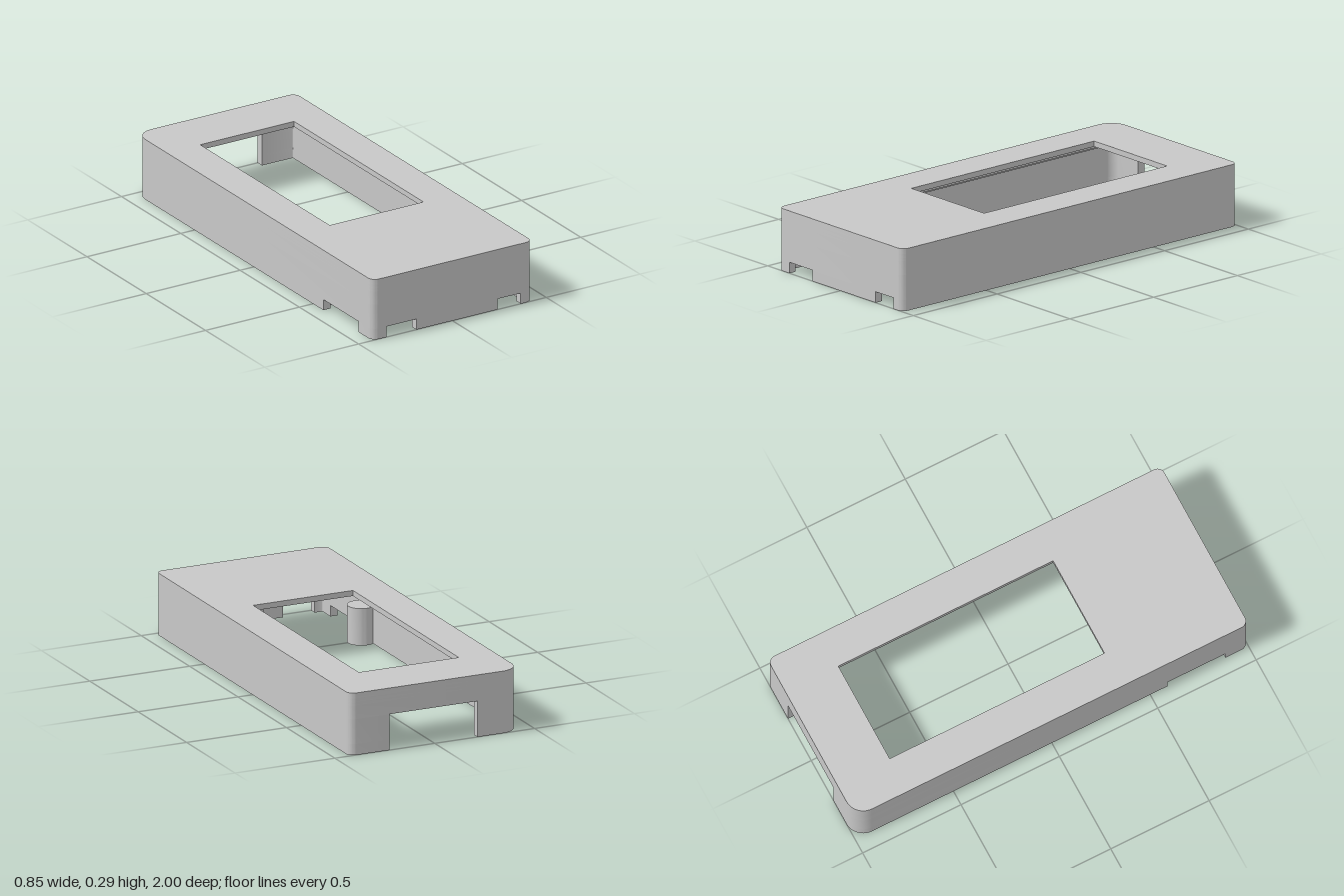
import * as THREE from 'three';
import { toCreasedNormals } from 'three/addons/utils/BufferGeometryUtils.js';

const HX = 0.427, HZ = 1, WALL = 0.037, CEILING = 0.235, TOP = 0.294;

// Outer corners in plan, shape y = -z, listed clockwise from back +x
const CORNERS = [
  { sx: 1, sy: 1, r: 0.035, a: Math.PI / 2 },
  { sx: 1, sy: -1, r: 0.035, a: 0 },
  { sx: -1, sy: -1, r: 0.035, a: -Math.PI / 2 },
  { sx: -1, sy: 1, r: 0.085, a: Math.PI },
];

// Points of one rounded corner, moved inwards by inset
function cornerPoints({ sx, sy, r, a }, inset) {
  const cx = sx * (HX - r), cy = sy * (HZ - r), rr = Math.max(r - inset, 0.004);
  const off = r - inset - rr;
  const pts = [];
  for (let i = 0; i <= 10; i++) {
    const t = a - (i / 10) * Math.PI / 2;
    pts.push(new THREE.Vector2(cx + sx * off + rr * Math.cos(t), cy + sy * off + rr * Math.sin(t)));
  }
  return pts;
}

const outline = (inset) => CORNERS.flatMap((c) => cornerPoints(c, inset));

const rectangle = (x, zBack, zFront) => [[-x, -zBack], [x, -zBack], [x, -zFront], [-x, -zFront]]
  .map(([px, py]) => new THREE.Vector2(px, py));

// A wall strip from one plan point (x, z) to another, passing the given corners
function strip(from, corners, to) {
  const end = ([x, z], inset) => Math.abs(z) === HZ
    ? new THREE.Vector2(x, -Math.sign(z) * (HZ - inset))
    : new THREE.Vector2(Math.sign(x) * (HX - inset), -z);
  const side = (inset) => [end(from, inset),
    ...corners.flatMap((i) => cornerPoints(CORNERS[i], inset)), end(to, inset)];
  return [...side(0), ...side(WALL).reverse()];
}

export function createModel() {
  const group = new THREE.Group();
  const grey = new THREE.MeshStandardMaterial({ color: 0xc8c8c8 });
  grey.name = 'plain grey';

  function add(name, geometry) {
    const mesh = new THREE.Mesh(toCreasedNormals(geometry, 0.6), grey);
    mesh.name = name;
    group.add(mesh);
    return mesh;
  }

  // Raise a clockwise plan shape from y0 to y1; holes run the other way round
  function layer(name, points, y0, y1, hole) {
    const shape = new THREE.Shape(points);
    if (hole) shape.holes.push(new THREE.Path(hole.reverse()));
    const geometry = new THREE.ExtrudeGeometry(shape, { depth: y1 - y0, bevelEnabled: false });
    geometry.rotateX(-Math.PI / 2).translate(0, y0, 0);
    add(name, geometry);
  }

  // Lower walls, cut by the front, side and back notches
  const notch = 0.052, backNotch = 0.17;
  const backPlus = [0.226, -HZ], backMinus = [-0.214, -HZ];
  layer('lowerSideWall', strip(backPlus, [0, 1], [0.364, HZ]), 0, notch);
  layer('lowerFrontWall', strip([0.241, HZ], [], [-0.192, HZ]), 0, notch);
  layer('lowerFrontCorner', strip([-0.351, HZ], [2], [-HX, 0.882]), 0, notch);
  layer('lowerBackCorner', strip([-HX, 0.587], [3], backMinus), 0, notch);

  // Upper walls
  layer('middleWall', strip(backPlus, [0, 1, 2, 3], backMinus), notch, backNotch);
  layer('upperWall', outline(0), backNotch, CEILING, outline(WALL));

  // Roof with a stepped recess under the window
  layer('recessFrame', outline(0), CEILING, 0.25, rectangle(0.3, -0.91, 0.485));
  layer('innerRecessFrame', outline(0), 0.25, 0.268, rectangle(0.275, -0.87, 0.44));
  layer('topPanel', outline(0), 0.268, TOP, rectangle(0.25, -0.732, 0.36));

  // Short hollow screw posts held by the walls, with a counterbore at the foot
  const profile = [[0, 0.15], [0.036, 0.15], [0.036, 0.025], [0.047, 0.025], [0.047, 0],
    [0.064, 0], [0.064, 0.175], [0, 0.175]].map(([x, y]) => new THREE.Vector2(x, y));
  for (const [x, z] of [[-0.355, 0.493], [0.355, 0.493], [0, 0.917]]) {
    add('screwPost', new THREE.LatheGeometry(profile, 40)).position.set(x, 0, z);
  }

  return group;
}
